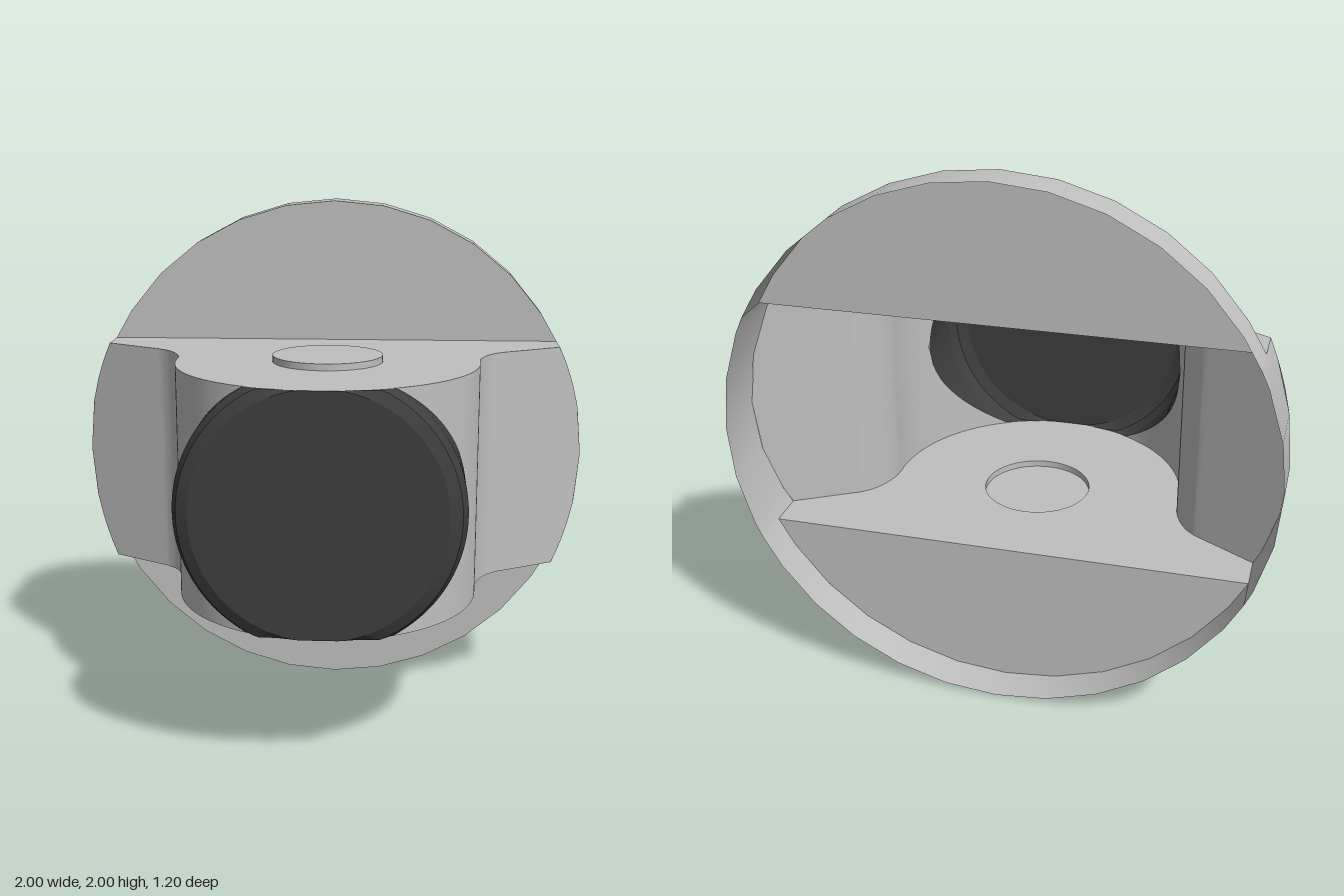
import * as THREE from 'three';

const H = 0.445;      // half height of the housing
const R = 0.515;      // lens radius
const ARC = 0.567;    // housing nose radius
const PIN_Z = 0.033;  // hinge axis
const PLATE_Z = -0.46, BACK_Z = -0.6;

const grey = new THREE.MeshStandardMaterial({ color: 0xc0c0c0, side: THREE.DoubleSide });
grey.name = 'light grey';
const dark = new THREE.MeshStandardMaterial({ color: 0x3e3e3e, side: THREE.DoubleSide });
dark.name = 'dark grey';

const noseZ = x => PIN_Z + Math.sqrt(Math.max(0, ARC * ARC - x * x));
const flareZ = x => -0.187 - 0.573 * (x - 0.663);

// Smooth surface spanning a grid of points [row][column]
function surface(rows) {
  const n = rows[0].length, index = [];
  for (let i = 0; i < rows.length - 1; i++) {
    for (let j = 0; j < n - 1; j++) {
      const a = i * n + j, b = a + n;
      index.push(a, a + 1, b, b, a + 1, b + 1);
    }
  }
  const g = new THREE.BufferGeometry();
  g.setAttribute('position', new THREE.Float32BufferAttribute(rows.flat(2), 3));
  g.setIndex(index);
  g.computeVertexNormals();
  return g;
}

// Half outline of the housing seen from above: round nose, concave neck, straight flare
function halfProfile() {
  const pts = [];
  for (let i = 0; i <= 48; i++) {
    const a = (i / 48) * Math.PI / 2;
    pts.push([ARC * Math.sin(a), PIN_Z + ARC * Math.cos(a)]);
  }
  const neck = new THREE.SplineCurve([[0.567, 0.033], [0.569, -0.02], [0.582, -0.07], [0.602, -0.115],
    [0.628, -0.155], [0.663, -0.187]].map(p => new THREE.Vector2(...p)));
  neck.getPoints(16).slice(1).forEach(p => pts.push([p.x, p.y]));
  for (let i = 1; i <= 16; i++) {
    const x = 0.663 + (1 - 0.663) * i / 16;
    pts.push([x, flareZ(x)]);
  }
  return pts;
}

export function createModel() {
  const model = new THREE.Group();
  const add = (name, geometry, material, parent = model) => {
    const m = new THREE.Mesh(geometry, material);
    m.name = name;
    parent.add(m);
    return m;
  };
  const profile = halfProfile();

  // Side walls: cut by the lens opening and by the round base
  for (const sx of [1, -1]) {
    const rows = [[], [], [], []];
    for (const [x, z] of profile) {
      const outer = Math.min(H, Math.sqrt(Math.max(0, 1 - x * x)));
      const inner = Math.min(outer, Math.sqrt(Math.max(0, R * R - x * x)));
      [outer, inner, -inner, -outer].forEach((y, k) => rows[k].push([sx * x, 1 + y, z]));
    }
    add('housingWallUpper', surface(rows.slice(0, 2)), grey);
    add('housingWallLower', surface(rows.slice(2)), grey);
  }

  // Top and bottom housing plates with hollow hinge bosses
  const edge = Math.sqrt(1 - H * H);
  const half = profile.filter(p => p[0] < edge - 0.005);
  half.push([edge, flareZ(edge)], [edge, PLATE_Z]);
  const outline = [...half.slice(1).reverse().map(([x, z]) => [-x, z]), ...half];
  for (const s of [1, -1]) {
    const shape = new THREE.Shape(outline.map(p => new THREE.Vector2(...p)));
    shape.holes.push(new THREE.Path().absarc(0, PIN_Z, 0.206, 0, Math.PI * 2, true));
    const plate = add(s > 0 ? 'topPlate' : 'bottomPlate', new THREE.ShapeGeometry(shape, 24), grey);
    plate.geometry.rotateX(Math.PI / 2);
    plate.position.y = 1 + s * H;

    const boss = new THREE.Group();
    boss.name = s > 0 ? 'topHingeBoss' : 'bottomHingeBoss';
    boss.position.set(0, 1 + s * (H + 0.0125), PIN_Z);
    add('bossSide', new THREE.CylinderGeometry(0.206, 0.206, 0.025, 48, 1, true), grey, boss);
    const cap = add('bossCap', new THREE.CircleGeometry(0.206, 48), grey, boss);
    cap.rotation.x = -s * Math.PI / 2;
    cap.position.y = s * 0.0125;
    model.add(boss);
  }

  // Round base: two disc segments above and below the housing
  const step = Math.asin(H);
  const facet = Math.PI / 16;
  for (const s of [1, -1]) {
    const pts = [];
    for (let a = step; a < Math.PI - step; a = (Math.floor(a / facet + 1e-6) + 1) * facet) {
      pts.push(new THREE.Vector2(Math.cos(a), s * Math.sin(a)));
    }
    pts.push(new THREE.Vector2(-edge, s * H));
    const seg = add(s > 0 ? 'upperBasePlate' : 'lowerBasePlate',
      new THREE.ShapeGeometry(new THREE.Shape(pts)), grey);
    seg.position.set(0, 1, PLATE_Z);
  }

  // Base rim: open at the back, reaching forward to the flares at the sides
  const rim = (name, from, to, frontZ) => {
    const angles = [from];
    for (let k = Math.floor(from / facet) + 1; k * facet < to - 1e-6; k++) angles.push(k * facet);
    angles.push(to);
    const ring = zOf => angles.map(a => [Math.cos(a), 1 + Math.sin(a), zOf(a)]);
    add(name, surface([ring(frontZ), ring(() => BACK_Z)]), grey);
  };
  for (const c of [0, Math.PI]) {
    rim('sideRim', c - step, c + step, a => flareZ(Math.abs(Math.cos(a))));
    rim('baseRim', c + step, c + Math.PI - step, () => PLATE_Z);
  }

  // Lens barrel: starts on the housing wall, trimmed flush with the plates
  const lens = new THREE.Group();
  lens.name = 'lens';
  const ring = (r, z) => Array.from({ length: 129 }, (_, i) => {
    const a = (i / 128) * Math.PI * 2;
    const x = r * Math.cos(a);
    const y = THREE.MathUtils.clamp(r * Math.sin(a), -H, H);
    return [x, 1 + y, Math.max(z, noseZ(x))];
  });
  const front = ring(0.452, 0.6);
  const rings = [ring(R, -1), ring(R, 0.535), ring(0.495, 0.58), front,
    front.map(() => [0, 1, 0.6])];
  ['lensBarrel', 'lensBevel', 'lensLip', 'lensFace'].forEach((name, i) =>
    add(name, surface([rings[i], rings[i + 1]]), dark, lens));
  model.add(lens);

  return model;
}
